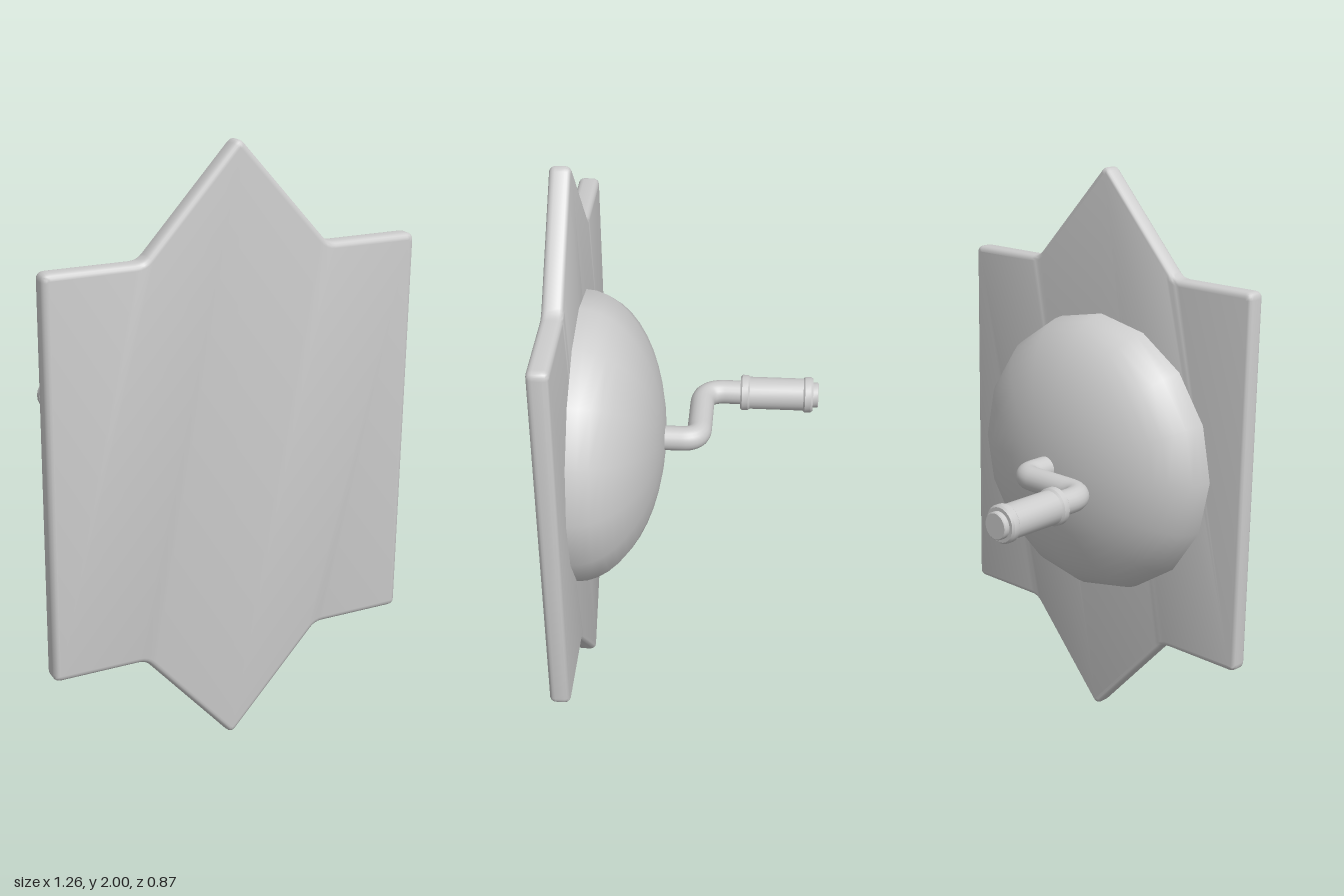
import * as THREE from 'three';
import { toCreasedNormals } from 'three/addons/utils/BufferGeometryUtils.js';

const V2 = (x, y) => new THREE.Vector2(x, y);
const V3 = (x, y, z) => new THREE.Vector3(x, y, z);

// Closed outline with every corner softened by distance d
function softOutline(points, d) {
  const shape = new THREE.Shape();
  const n = points.length;
  points.forEach((p, i) => {
    const toward = q => p.clone().add(q.clone().sub(p).setLength(d));
    const a = toward(points[(i + n - 1) % n]);
    const b = toward(points[(i + 1) % n]);
    if (i === 0) shape.moveTo(a.x, a.y);
    else shape.lineTo(a.x, a.y);
    shape.quadraticCurveTo(p.x, p.y, b.x, b.y);
  });
  shape.closePath();
  return shape;
}

// Lathe turned so that its profile height runs toward -z
function latheBack(profile, sides) {
  return new THREE.LatheGeometry(profile, sides).rotateX(-Math.PI / 2);
}

export function createModel() {
  const group = new THREE.Group();
  const material = new THREE.MeshStandardMaterial({ color: 0xcccccc });
  const add = (name, geometry, x, y, z) => {
    const mesh = new THREE.Mesh(geometry, material);
    mesh.name = name;
    mesh.position.set(x, y, z);
    group.add(mesh);
  };

  // Star-pointed face plate with rounded edges
  const half = [V2(0, -1.007), V2(0.315, -0.656), V2(0.632, -0.656), V2(0.632, 0.66), V2(0.315, 0.66)];
  const outline = [...half, V2(0, 1.007), V2(-0.315, 0.66), V2(-0.632, 0.66), V2(-0.632, -0.656), V2(-0.315, -0.656)];
  const bevel = 0.02;
  const plate = new THREE.ExtrudeGeometry(softOutline(outline, 0.025), {
    depth: 0.07 - 2 * bevel, curveSegments: 4,
    bevelSize: bevel, bevelThickness: bevel, bevelOffset: -bevel, bevelSegments: 4
  });
  add('facePlate', toCreasedNormals(plate, 0.6), 0, 1, 0.36 + bevel);

  // Shallow dome on the back
  const domeProfile = [];
  for (let i = 0; i <= 12; i++) {
    const a = (i / 12) * Math.PI / 2;
    domeProfile.push(V2(i === 12 ? 0 : 0.5 * Math.cos(a), 0.277 * Math.sin(a)));
  }
  add('dome', latheBack(domeProfile, 16), 0, 1, 0.361);

  // Crank arm: out of the dome, sideways, then back again
  const path = new THREE.CurvePath();
  const bend = (a, b, c) => path.add(new THREE.QuadraticBezierCurve3(a, b, c));
  const line = (a, b) => path.add(new THREE.LineCurve3(a, b));
  line(V3(0, 0, 0.12), V3(0, 0, 0.03));
  bend(V3(0, 0, 0.03), V3(0, 0, -0.028), V3(-0.058, 0, -0.028));
  line(V3(-0.058, 0, -0.028), V3(-0.213, 0, -0.028));
  bend(V3(-0.213, 0, -0.028), V3(-0.292, 0, -0.028), V3(-0.292, 0, -0.107));
  line(V3(-0.292, 0, -0.107), V3(-0.292, 0, -0.18));
  add('crankArm', new THREE.TubeGeometry(path, 64, 0.042, 20), 0, 1, 0);

  // Grip with a collar at each end and a small end cap
  const gripProfile = [
    [0, 0], [0.057, 0], [0.063, 0.006], [0.063, 0.027], [0.057, 0.033],
    [0.057, 0.222], [0.063, 0.228], [0.063, 0.249], [0.057, 0.256],
    [0.045, 0.256], [0.045, 0.272], [0.042, 0.275], [0, 0.275]
  ].map(([r, h]) => V2(r, h));
  add('grip', toCreasedNormals(latheBack(gripProfile, 24), 0.6), -0.292, 1, -0.16);

  return group;
}
